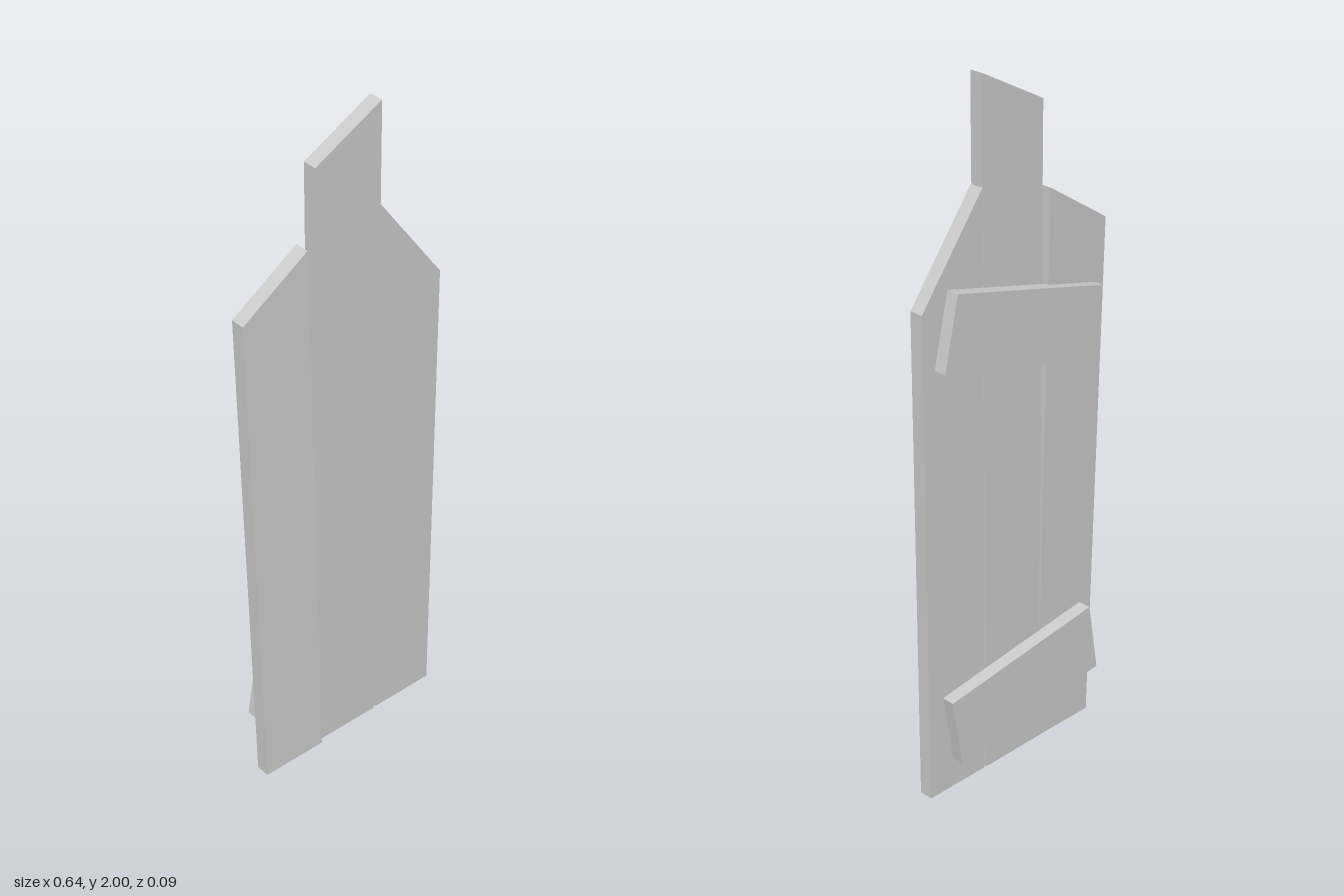
import * as THREE from 'three';

const THICK = 0.042;
const material = new THREE.MeshStandardMaterial({ color: 0xcccccc, flatShading: true });

// Flat plank from an outline of [x, y] corners; zAt gives its back face depth
function plank(name, corners, zAt) {
  const shape = new THREE.Shape(corners.map(([x, y]) => new THREE.Vector2(x, y)));
  const geometry = new THREE.ExtrudeGeometry(shape, { depth: THICK, bevelEnabled: false });
  const p = geometry.attributes.position;
  for (let i = 0; i < p.count; i++) p.setZ(i, p.getZ(i) + zAt(p.getX(i), p.getY(i)));
  geometry.computeVertexNormals();
  const mesh = new THREE.Mesh(geometry, material);
  mesh.name = name;
  return mesh;
}

// Tilted cross piece on the back
function batten(name, x, y, angle) {
  const mesh = new THREE.Mesh(new THREE.BoxGeometry(0.535, 0.21, 0.04), material);
  mesh.position.set(x, y, -0.027);
  mesh.rotation.z = angle;
  mesh.name = name;
  return mesh;
}

export function createModel() {
  const group = new THREE.Group();
  group.name = 'plankPanel';

  // Three upright boards with slanted tops; the right one leans back
  group.add(
    plank('rightBoard', [[-0.303, 0.008], [-0.1, 0.003], [-0.114, 1.66], [-0.322, 1.53]],
      (x, y) => 0.003 - 0.0155 * y - 0.005 * (x + 0.3)),
    plank('middleBoard', [[-0.099, 0.01], [0.108, 0.004], [0.108, 2], [-0.103, 1.893]],
      (x) => -0.006 - 0.008 * x),
    plank('leftBoard', [[0.116, 0.005], [0.32, 0], [0.32, 1.43], [0.11, 1.71]],
      (x) => -0.007 - 0.008 * (x - 0.1)),
  );

  // Two crooked battens holding the boards together
  group.add(
    batten('upperBatten', -0.004, 1.312, 0.225),
    batten('lowerBatten', -0.011, 0.24, -0.16),
  );
  return group;
}
